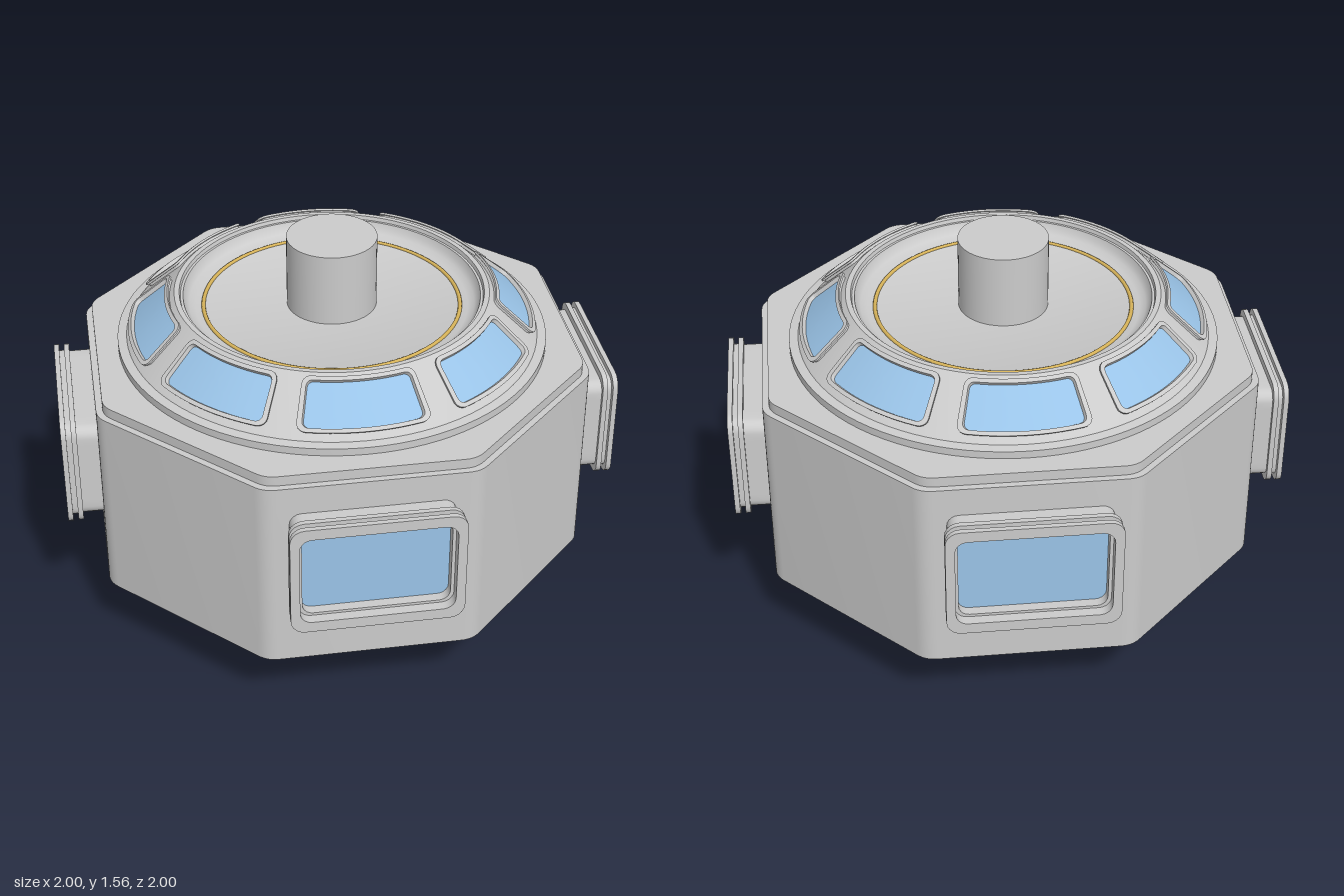
import * as THREE from 'three';
import { toCreasedNormals } from 'three/addons/utils/BufferGeometryUtils.js';

const grey = new THREE.MeshStandardMaterial({ color: 0xcccccc });
const glass = new THREE.MeshStandardMaterial({ color: 0x9ac4e8 });
const gold = new THREE.MeshStandardMaterial({ color: 0xd8b45a });

function add(parent, name, geometry, material = grey) {
  const mesh = new THREE.Mesh(geometry, material);
  mesh.name = name;
  parent.add(mesh);
  return mesh;
}

// Octagonal slab with softened vertical corners
function octagonSlab(apothem, y0, y1) {
  const R = apothem / Math.cos(Math.PI / 8);
  const corner = (i) => {
    const a = Math.PI / 8 + (i * Math.PI) / 4;
    return new THREE.Vector2(R * Math.cos(a), R * Math.sin(a));
  };
  const shape = new THREE.Shape();
  for (let i = 0; i < 8; i++) {
    const c = corner(i);
    const p = c.clone().lerp(corner(i + 7), 0.055);
    const q = c.clone().lerp(corner(i + 1), 0.055);
    if (i === 0) shape.moveTo(p.x, p.y);
    else shape.lineTo(p.x, p.y);
    shape.quadraticCurveTo(c.x, c.y, q.x, q.y);
  }
  shape.closePath();
  const geo = new THREE.ExtrudeGeometry(shape, { depth: y1 - y0, bevelEnabled: false, curveSegments: 6 });
  geo.rotateX(-Math.PI / 2).translate(0, y0, 0);
  return toCreasedNormals(geo, 0.5);
}

// Rounded rectangle outline, counter-clockwise, with subdivided straight edges
function outline(hw, hh, r, edge = 10, arc = 5) {
  const pts = [];
  const centres = [[1, 1], [-1, 1], [-1, -1], [1, -1]];
  const at = (k, t) => {
    const a = (k + t) * Math.PI / 2;
    const [sx, sy] = centres[k % 4];
    return [sx * (hw - r) + r * Math.cos(a), sy * (hh - r) + r * Math.sin(a)];
  };
  for (let k = 0; k < 4; k++) {
    for (let i = 0; i < arc; i++) pts.push(at(k, i / arc));
    const a = at(k, 1), b = at((k + 1) % 4, 0);
    for (let i = 0; i < edge; i++) {
      const t = i / edge;
      pts.push([a[0] + (b[0] - a[0]) * t, a[1] + (b[1] - a[1]) * t]);
    }
  }
  return pts;
}

// Skin over nested outlines [halfWidth, halfHeight, radius, height], bent by map(u, v, w)
function loft(rings, map, capped = false) {
  const pos = [], idx = [];
  const loops = rings.map(([hw, hh, r, w]) => outline(hw, hh, r).map(([u, v]) => [u, v, w]));
  if (capped) {
    const rim = loops[loops.length - 1];
    for (const s of [0.75, 0.5, 0.25, 0]) loops.push(rim.map(([u, v, w]) => [u * s, v * s, w]));
  }
  const n = loops[0].length;
  for (const loop of loops) for (const p of loop) pos.push(...map(...p));
  for (let j = 0; j < loops.length - 1; j++) {
    for (let i = 0; i < n; i++) {
      const a = j * n + i, b = j * n + ((i + 1) % n);
      if (capped && j === loops.length - 2) idx.push(a, b, a + n);
      else idx.push(a, b, b + n, a, b + n, a + n);
    }
  }
  const geo = new THREE.BufferGeometry();
  geo.setAttribute('position', new THREE.Float32BufferAttribute(pos, 3));
  geo.setIndex(idx);
  return toCreasedNormals(geo, 0.5);
}

const flat = (u, v, w) => [u, v, w];

// Bends a panel around the sloping roof
function onRoof(u, v, w) {
  const a = u / 0.7;
  const r = 0.705 - 0.747 * v + 0.664 * w;
  return [r * Math.sin(a), 1.25 + 0.664 * v + 0.747 * w, r * Math.cos(a)];
}

export function createModel() {
  const model = new THREE.Group();
  model.name = 'observationModule';

  // Octagonal hull and its stepped top plate
  add(model, 'hull', octagonSlab(0.95, 0.295, 1.085));
  add(model, 'topPlate', octagonSlab(0.925, 1.085, 1.125));

  // Sloping roof with a shallow dished centre
  const profile = [
    [0.84, 1.125], [0.84, 1.155], [0.805, 1.16], [0.8, 1.166], [0.622, 1.324], [0.612, 1.333],
    [0.592, 1.333], [0.588, 1.318], [0.578, 1.318], [0.57, 1.297], [0.555, 1.28], [0.53, 1.27], [0, 1.27],
  ].map(([x, y]) => new THREE.Vector2(x, y));
  add(model, 'roof', toCreasedNormals(new THREE.LatheGeometry(profile, 96), 0.5));

  const ring = add(model, 'goldRing', new THREE.TorusGeometry(0.5, 0.008, 8, 96), gold);
  ring.rotation.x = Math.PI / 2;
  ring.position.y = 1.27;

  // Docking posts above and below, with the mounting plate
  add(model, 'topPost', new THREE.CylinderGeometry(0.175, 0.175, 0.29, 48)).position.y = 1.415;
  add(model, 'bottomPost', new THREE.CylinderGeometry(0.175, 0.175, 0.295, 48)).position.y = 0.1475;
  add(model, 'mountingPlate', new THREE.BoxGeometry(0.37, 0.02, 0.52)).position.y = 0.285;

  // Eight curved windows around the roof
  const roofFrame = loft([
    [0.218, 0.1, 0.03, -0.01], [0.218, 0.1, 0.03, 0.01], [0.226, 0.106, 0.034, 0.012],
    [0.226, 0.106, 0.034, 0.02], [0.208, 0.09, 0.024, 0.02], [0.204, 0.086, 0.022, 0.001],
  ], onRoof);
  const roofGlass = loft([[0.206, 0.088, 0.022, 0.004]], onRoof, true);
  for (let i = 0; i < 8; i++) {
    const win = new THREE.Group();
    win.name = 'roofWindow';
    win.rotation.y = (i * Math.PI) / 4;
    add(win, 'roofWindowFrame', roofFrame);
    add(win, 'roofWindowPane', roofGlass, glass);
    model.add(win);
  }

  // Four large double-flanged windows on the diagonal faces
  const sideFrame = loft([
    [0.305, 0.203, 0.045, 0.94], [0.305, 0.203, 0.045, 1.03], [0.32, 0.232, 0.055, 1.03],
    [0.32, 0.232, 0.055, 1.05], [0.302, 0.21, 0.045, 1.05], [0.302, 0.21, 0.045, 1.07],
    [0.322, 0.232, 0.055, 1.07], [0.322, 0.232, 0.055, 1.09], [0.287, 0.188, 0.045, 1.09],
    [0.287, 0.188, 0.045, 1.05], [0.274, 0.177, 0.04, 1.05], [0.274, 0.177, 0.04, 1.0],
  ], flat);
  const sideGlass = loft([[0.276, 0.179, 0.04, 1.012]], flat, true);
  for (let i = 0; i < 4; i++) {
    const win = new THREE.Group();
    win.name = 'sideWindow';
    win.rotation.y = Math.PI / 4 + (i * Math.PI) / 2;
    win.position.y = 0.768;
    add(win, 'sideWindowFrame', sideFrame);
    add(win, 'sideWindowPane', sideGlass, glass);
    model.add(win);
  }

  return model;
}
